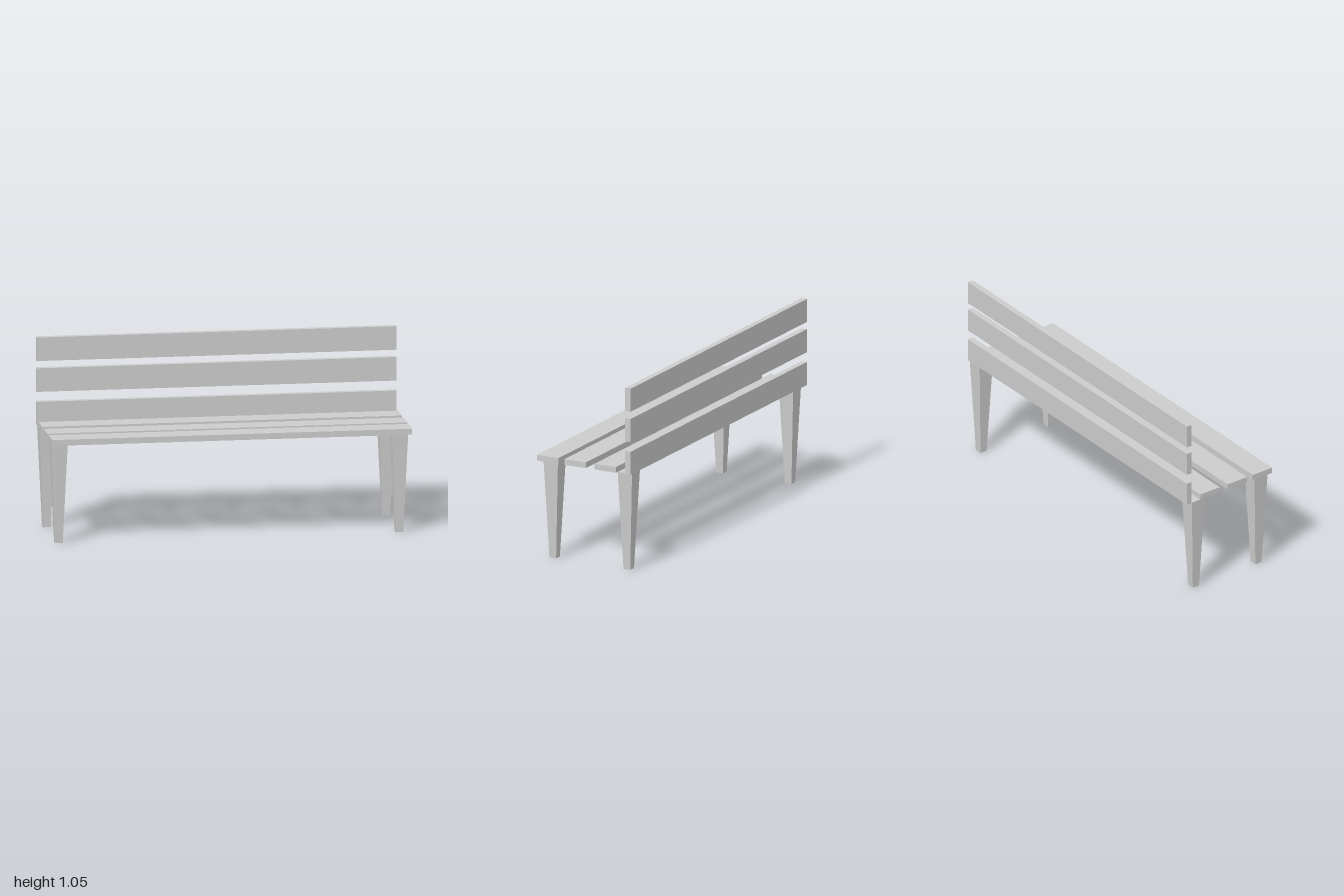
import * as THREE from 'three';

const material = new THREE.MeshStandardMaterial({ color: 0xcccccc, flatShading: true });
const LEG_HEIGHT = 0.557;

// Full-width plank, given its height and depth and its centre
function plank(name, height, depth, y, z) {
  const mesh = new THREE.Mesh(new THREE.BoxGeometry(2, height, depth), material);
  mesh.name = name;
  mesh.position.set(0, y, z);
  return mesh;
}

// Square leg that narrows towards the ground
function leg(name, x, z) {
  const geometry = new THREE.BoxGeometry(0.09, LEG_HEIGHT, 0.09);
  const p = geometry.attributes.position;
  for (let i = 0; i < p.count; i++) {
    if (p.getY(i) < 0) {
      p.setX(i, p.getX(i) * 0.47);
      p.setZ(i, p.getZ(i) * 0.47);
    }
  }
  geometry.computeVertexNormals();
  const mesh = new THREE.Mesh(geometry, material);
  mesh.name = name;
  mesh.position.set(x, LEG_HEIGHT / 2, z);
  return mesh;
}

export function createModel() {
  const bench = new THREE.Group();
  bench.name = 'bench';

  // Seat: three flat planks
  const seat = new THREE.Group();
  seat.name = 'seat';
  [0.227, 0.055, -0.133].forEach((z, i) =>
    seat.add(plank(`seatPlank${i + 1}`, 0.033, 0.134, 0.573, z)));

  // Backrest: three upright planks
  const backrest = new THREE.Group();
  backrest.name = 'backrest';
  [0.624, 0.812, 0.985].forEach((y, i) =>
    backrest.add(plank(`backPlank${i + 1}`, 0.132, 0.034, y, -0.276)));

  // Legs: the back pair is slightly staggered
  const legs = new THREE.Group();
  legs.name = 'legs';
  legs.add(
    leg('frontRightLeg', -0.954, 0.218),
    leg('frontLeftLeg', 0.938, 0.218),
    leg('backRightLeg', -0.954, -0.212),
    leg('backLeftLeg', 0.938, -0.247),
  );

  bench.add(seat, backrest, legs);
  return bench;
}
